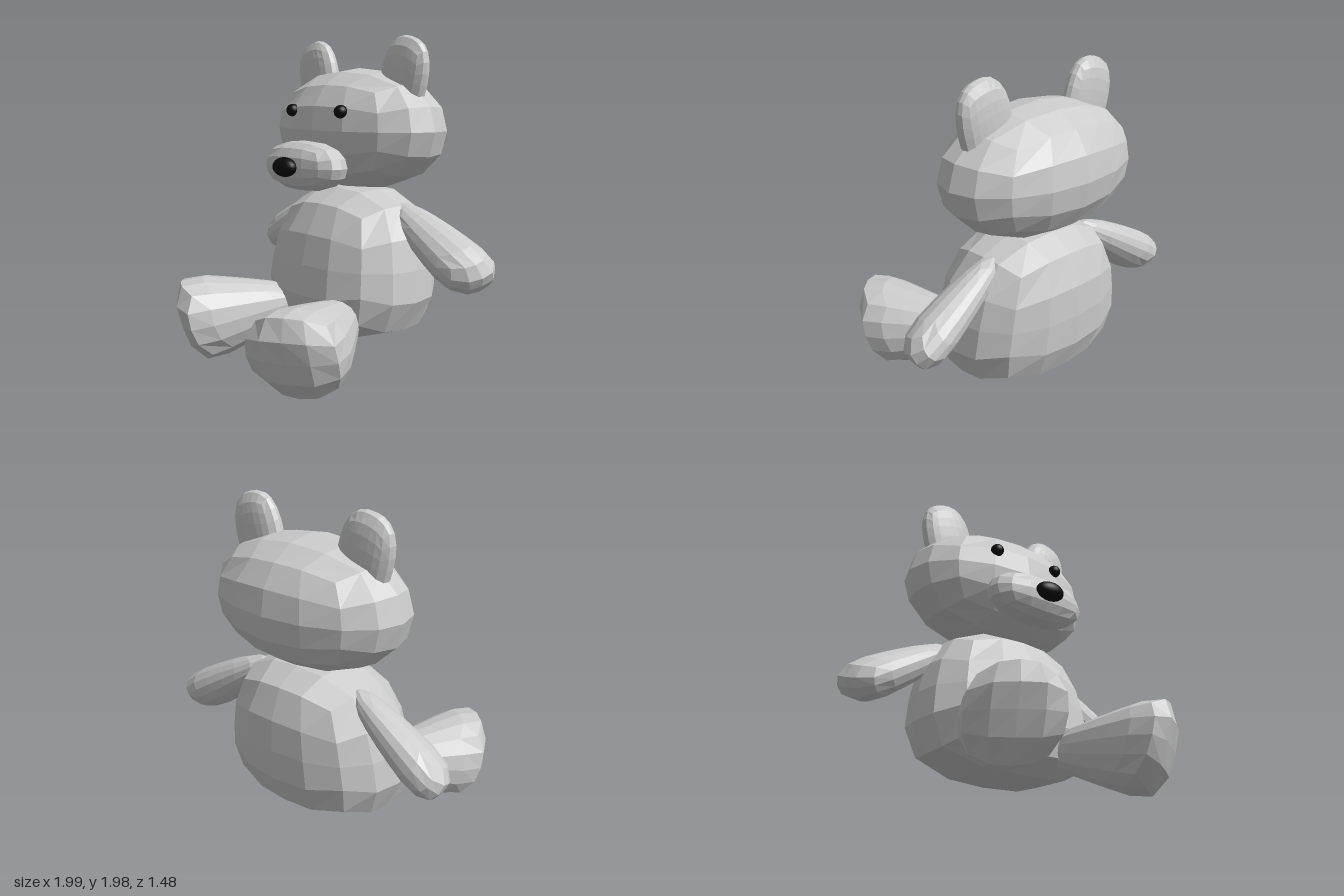
import * as THREE from 'three';

const fabric = new THREE.MeshStandardMaterial({ color: 0xcccccc, flatShading: true });
const black = new THREE.MeshStandardMaterial({ color: 0x0a0a0a });

// Faceted rounded form running from point a to point b. u and v are the half-width
// vectors of its section, tu and tv widen (+) or narrow (-) them towards b.
// p squares off the ends, q squares off the section. side = -1 mirrors the form in x.
function blob(name, { a, b, u, v, tu = 0, tv = tu, p = 2.1, q = 2.1, segs = [4, 4, 4] }, side = 1) {
  const [A, B, U, V] = [a, b, u, v].map(([x, y, z]) => new THREE.Vector3(x * side, y, z));
  const centre = A.clone().add(B).multiplyScalar(0.5);
  const axis = B.clone().sub(A).multiplyScalar(0.5);

  const geometry = new THREE.BoxGeometry(2, 2, 2, ...segs);
  const pos = geometry.attributes.position;
  const point = new THREE.Vector3();
  for (let i = 0; i < pos.count; i++) {
    const [x, y, z] = [pos.getX(i), pos.getY(i), pos.getZ(i)].map((c) => Math.tan((c * Math.PI) / 4));
    const ring = (Math.abs(x) ** q + Math.abs(z) ** q) ** (1 / q);
    const n = (ring ** p + Math.abs(y) ** p) ** (1 / p);
    const t = y / n;
    point.copy(centre)
      .addScaledVector(axis, t)
      .addScaledVector(U, (x / n) * (1 + tu * t))
      .addScaledVector(V, (z / n) * (1 + tv * t));
    pos.setXYZ(i, point.x, point.y, point.z);
  }

  // Keep faces outward when the frame is left-handed
  if (U.clone().cross(axis).dot(V) < 0) geometry.setIndex(Array.from(geometry.index.array).reverse());
  geometry.computeVertexNormals();
  const mesh = new THREE.Mesh(geometry, fabric);
  mesh.name = name;
  return mesh;
}

// Smooth black ellipsoid for the eyes and nose
function bead(name, position, radii) {
  const mesh = new THREE.Mesh(new THREE.SphereGeometry(1, 24, 16), black);
  mesh.name = name;
  mesh.position.set(...position);
  mesh.scale.set(...radii);
  return mesh;
}

export function createModel() {
  const bear = new THREE.Group();
  bear.name = 'teddyBear';

  // Body: broad at the bottom, leaning back towards the neck
  bear.add(blob('body', {
    a: [0, 0.17, -0.255], b: [0, 1.09, -0.335],
    u: [0.56, 0, 0], v: [0, 0, 0.41], tu: -0.15, tv: -0.1, p: 3, q: 2.4,
  }));

  // Head, muzzle and nose
  bear.add(blob('head', {
    a: [0, 1.07, -0.35], b: [0, 1.82, -0.35], u: [0.64, 0, 0], v: [0, 0, 0.39],
  }));
  bear.add(blob('muzzle', {
    a: [0, 1.085, 0.085], b: [0, 1.385, 0.085],
    u: [0.33, 0, 0], v: [0, 0, 0.145], p: 2.2, q: 2.4,
  }));
  bear.add(bead('nose', [0, 1.236, 0.242], [0.095, 0.058, 0.056]));

  for (const [label, s] of [['left', 1], ['right', -1]]) {
    bear.add(bead(label + 'Eye', [0.225 * s, 1.56, 0.003], [0.041, 0.039, 0.041]));

    // Flat ears, splayed outwards
    bear.add(blob(label + 'Ear', {
      a: [0.325, 1.51, -0.35], b: [0.445, 1.995, -0.35],
      u: [0.168, -0.045, 0], v: [0, 0, 0.072], p: 2.5, q: 2.4, segs: [6, 6, 4],
    }, s));

    // Arms swelling towards a rolled paw
    bear.add(blob(label + 'Arm', {
      a: [0.33, 0.985, -0.37], b: [0.96, 0.6, -0.41],
      u: [0.053, 0.084, 0.046], v: [-0.05, -0.044, 0.13], tu: 0.35, p: 3, segs: [4, 5, 4],
    }, s));

    // Legs flaring into large upturned feet
    bear.add(blob(label + 'Leg', {
      a: [0.2, 0.365, -0.1], b: [0.52, 0.26, 0.64],
      u: [0.168, 0, -0.117], v: [0.02, 0.195, 0.06], tu: 0.6, p: 4, q: 2.2, segs: [4, 5, 4],
    }, s));
  }

  return bear;
}
